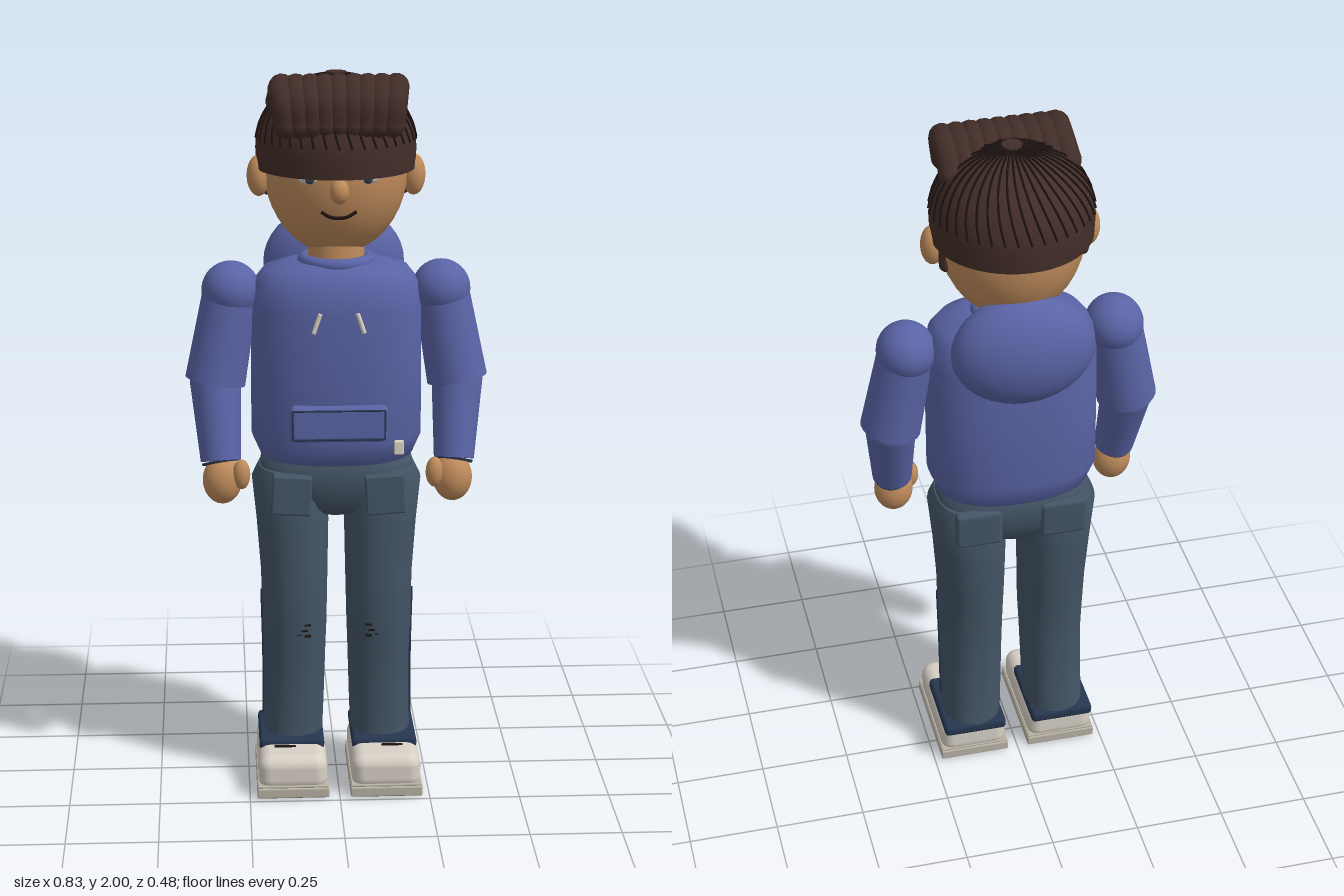
import * as THREE from 'three';
import { toCreasedNormals } from 'three/addons/utils/BufferGeometryUtils.js';
import { RoundedBoxGeometry } from 'three/addons/geometries/RoundedBoxGeometry.js';

const mat = (color) => new THREE.MeshStandardMaterial({ color, roughness: 0.8 });
const M = {
  hoodie: mat(0x5a64a6), jeans: mat(0x445566), navy: mat(0x26364f), skin: mat(0xc08c5c),
  hair: mat(0x422d28), dark: mat(0x1b1210), shoe: mat(0xd8d1c6), sole: mat(0xb8b2a4),
  tread: mat(0x707070), cream: mat(0xddd5c5), white: mat(0xe6e6e6), iris: mat(0x3a4048),
};
const V = (x, y, z) => new THREE.Vector3(x, y, z);

export function createModel() {
  const model = new THREE.Group();
  model.name = 'standingFigure';

  const add = (name, geo, material, x = 0, y = 0, z = 0) => {
    const mesh = new THREE.Mesh(geo, material);
    mesh.name = name;
    mesh.position.set(x, y, z);
    model.add(mesh);
    return mesh;
  };
  const ball = (name, material, x, y, z, rx, ry, rz) => {
    const mesh = add(name, new THREE.SphereGeometry(1, 32, 20), material, x, y, z);
    mesh.scale.set(rx, ry, rz);
    return mesh;
  };
  const box = (name, material, x, y, z, w, h, d, r = 0.01) =>
    add(name, new RoundedBoxGeometry(w, h, d, 3, r), material, x, y, z);
  const tube = (name, material, points, radius, segments = 16, sides = 6) =>
    add(name, new THREE.TubeGeometry(new THREE.CatmullRomCurve3(points), segments, radius, sides), material);
  // Tapered limb between two points
  const limb = (name, material, a, b, ra, rb) => {
    const mesh = add(name, new THREE.CylinderGeometry(rb, ra, a.distanceTo(b), 28), material);
    mesh.position.copy(a).lerp(b, 0.5);
    mesh.quaternion.setFromUnitVectors(V(0, 1, 0), b.clone().sub(a).normalize());
    return mesh;
  };
  // Closed skin over stacked superellipse sections: [y, centreX, centreZ, radiusX, radiusZ]
  const loft = (name, material, sections, power = 2) => {
    const n = 40, pos = [], idx = [];
    const first = sections[0], last = sections[sections.length - 1];
    const rings = [[first[0], first[1], first[2], 0.001, 0.001], ...sections,
      [last[0], last[1], last[2], 0.001, 0.001]];
    const bend = (v) => Math.sign(v) * Math.abs(v) ** (2 / power);
    rings.forEach(([y, cx, cz, rx, rz], i) => {
      for (let j = 0; j < n; j++) {
        const t = (j / n) * Math.PI * 2;
        pos.push(cx + rx * bend(Math.cos(t)), y, cz + rz * bend(Math.sin(t)));
        if (i === rings.length - 1) continue;
        const a = i * n + j, b = i * n + (j + 1) % n;
        idx.push(a, a + n, b, b, a + n, b + n);
      }
    });
    const geo = new THREE.BufferGeometry();
    geo.setAttribute('position', new THREE.Float32BufferAttribute(pos, 3));
    geo.setIndex(idx);
    return add(name, toCreasedNormals(geo, 0.9), material);
  };

  // Head and face
  ball('head', M.skin, 0, 1.735, -0.01, 0.195, 0.237, 0.18);
  add('neck', new THREE.CylinderGeometry(0.075, 0.08, 0.1, 28), M.skin, 0, 1.49, 0.01);
  ball('nose', M.skin, 0, 1.702, 0.185, 0.026, 0.034, 0.028);
  tube('mouth', M.dark, [V(-0.047, 1.642, 0.15), V(-0.02, 1.627, 0.151), V(0.02, 1.627, 0.151), V(0.047, 1.642, 0.15)], 0.005);

  // Hair cap with a straight band below the dome
  const profile = [[0.175, 1.735], [0.214, 1.735], [0.217, 1.79]];
  for (let i = 1; i <= 14; i++) {
    const a = (i / 14) * Math.PI / 2;
    profile.push([Math.max(0.217 * Math.cos(a), 0), 1.79 + 0.195 * Math.sin(a)]);
  }
  const cap = add('hairCap', toCreasedNormals(new THREE.LatheGeometry(
    profile.map(([x, y]) => new THREE.Vector2(x, y)), 48), 0.8), M.hair, 0, 0, -0.012);
  cap.material = M.hair.clone();
  cap.material.side = THREE.DoubleSide;
  add('hairCrown', new THREE.CylinderGeometry(0.027, 0.027, 0.012, 24), M.hair, 0, 1.986, -0.012);

  // Fine swirled strands running from the band to the crown
  for (let k = 0; k < 40; k++) {
    const points = [];
    for (let i = 0; i <= 6; i++) {
      const e = 0.12 + (i / 6) * 1.33, t = (k / 40) * Math.PI * 2 + 0.22 * Math.sin(i / 6 * Math.PI / 2);
      const r = 0.218 * Math.cos(e);
      points.push(V(r * Math.cos(t), 1.791 + 0.196 * Math.sin(e), -0.012 + r * Math.sin(t)));
    }
    tube('hairStrand', M.dark, points, 0.0032, 14, 5);
  }

  // Quiff made of thick side-by-side rolls
  for (let k = 0; k < 9; k++) {
    const u = k / 4 - 1, x = u * 0.152, r = 0.034;
    const path = [V(x * 0.92, 1.875, 0.165), V(x * 0.96, 1.93, 0.163), V(x, 1.96, 0.125),
      V(x + 0.004, 1.965, 0.08), V(x + 0.004, 1.95, 0.035), V(x * 1.02, 1.915, 0.008)];
    tube('quiffRoll', M.hair, path, r, 20, 14);
    for (const p of [path[0], path[5]]) ball('quiffRollEnd', M.hair, p.x, p.y, p.z, r, r, r);
  }

  // Torso, collar and hood
  loft('hoodieBody', M.hoodie, [
    [0.925, 0, 0, 0.18, 0.12], [0.945, 0, 0, 0.21, 0.14], [1.0, 0, 0, 0.234, 0.152],
    [1.2, 0, 0, 0.234, 0.15], [1.36, 0, 0.005, 0.232, 0.158], [1.43, 0, 0.005, 0.222, 0.147],
    [1.465, 0, 0.005, 0.195, 0.125], [1.485, 0, 0.005, 0.12, 0.1]], 2.5);
  const collar = add('collar', new THREE.TorusGeometry(0.088, 0.018, 12, 40), M.hoodie, 0, 1.485, 0.01);
  collar.rotation.x = Math.PI / 2;
  ball('hood', M.hoodie, 0, 1.45, -0.138, 0.195, 0.16, 0.102);

  // Front pocket with a stitched border, drawstrings and tag
  box('frontPocket', M.hoodie, 0, 1.06, 0.15, 0.265, 0.1, 0.04, 0.015);
  const border = [[-0.125, 1.02], [0.125, 1.02], [0.125, 1.1], [-0.125, 1.1]];
  border.forEach(([x, y], i) => {
    const [x2, y2] = border[(i + 1) % 4];
    limb('pocketStitch', M.navy, V(x, y, 0.171), V(x2, y2, 0.171), 0.0025, 0.0025);
  });
  for (const s of [-1, 1]) limb('drawstring', M.cream, V(s * 0.068, 1.315, 0.166), V(s * 0.05, 1.368, 0.166), 0.006, 0.006);
  box('hemTag', M.cream, 0.165, 0.985, 0.13, 0.026, 0.038, 0.02, 0.003);

  // Hips of the jeans
  loft('jeansHips', M.jeans, [
    [0.78, 0, 0, 0.06, 0.085], [0.8, 0, 0, 0.12, 0.105], [0.84, 0, 0, 0.19, 0.122],
    [0.88, 0, 0, 0.216, 0.13], [0.925, 0, 0, 0.21, 0.13], [0.955, 0, 0, 0.185, 0.115]], 2.6);

  // Mirrored parts
  for (const s of [-1, 1]) {
    // Ears, sideburns and eyes
    ball('ear', M.skin, s * 0.209, 1.715, 0.003, 0.032, 0.056, 0.034);
    const burn = add('sideburn', new THREE.CapsuleGeometry(0.02, 0.07, 6, 14), M.hair, s * 0.185, 1.71, -0.036);
    burn.scale.x = 0.8;
    ball('eyeWhite', M.white, s * 0.077, 1.732, 0.15, 0.03, 0.016, 0.014);
    ball('iris', M.iris, s * 0.077, 1.732, 0.16, 0.013, 0.014, 0.008);
    tube('eyelid', M.dark, [V(s * 0.045, 1.733, 0.163), V(s * 0.077, 1.745, 0.164), V(s * 0.108, 1.733, 0.147)], 0.003);

    // Arms
    const shoulder = V(s * 0.287, 1.4, 0.002), elbow = V(s * 0.332, 1.15, 0.018), wrist = V(s * 0.32, 0.94, 0.083);
    ball('shoulder', M.hoodie, shoulder.x, shoulder.y, shoulder.z, 0.08, 0.08, 0.084);
    limb('upperSleeve', M.hoodie, shoulder, elbow, 0.075, 0.083);
    ball('elbow', M.hoodie, elbow.x, elbow.y, elbow.z, 0.07, 0.07, 0.07);
    limb('lowerSleeve', M.hoodie, elbow, wrist, 0.07, 0.055);
    limb('cuff', M.navy, wrist, V(s * 0.319, 0.934, 0.085), 0.053, 0.051);
    ball('hand', M.skin, s * 0.316, 0.888, 0.09, 0.054, 0.067, 0.048);
    ball('thumb', M.skin, s * 0.264, 0.91, 0.115, 0.024, 0.042, 0.024);

    // Legs with turned hems
    loft('jeansLeg', M.jeans, [
      [0.12, s * 0.124, 0, 0.084, 0.104], [0.22, s * 0.121, 0.005, 0.085, 0.1],
      [0.38, s * 0.118, 0.012, 0.087, 0.104], [0.46, s * 0.118, 0.016, 0.09, 0.113],
      [0.6, s * 0.118, 0.008, 0.093, 0.124], [0.75, s * 0.122, 0.002, 0.1, 0.13],
      [0.87, s * 0.13, 0, 0.104, 0.132], [0.91, s * 0.125, 0, 0.09, 0.12]], 2.3);
    box('jeansHem', M.navy, s * 0.13, 0.117, 0.012, 0.182, 0.034, 0.236, 0.012);
    tube('sideSeam', M.navy, [V(s * 0.207, 0.17, 0.018), V(s * 0.206, 0.36, 0.03), V(s * 0.21, 0.55, 0.03)], 0.004);
    box('thighPocket', M.jeans, s * 0.128, 0.855, 0.134, 0.108, 0.11, 0.04, 0.006).rotation.z = s * 0.06;
    box('backPocket', M.jeans, s * 0.12, 0.865, -0.118, 0.13, 0.11, 0.035, 0.012);

    // Worn knee marks
    for (let row = 0; row < 3; row++) {
      for (let k = 0; k < 3; k++) {
        box('kneeTear', M.dark, s * (0.085 + k * 0.026 + (row % 2) * 0.008), 0.44 + row * 0.016 + k * 0.003, 0.123 - k * 0.004,
          0.018, 0.005, 0.014, 0.002);
      }
    }

    // Shoes
    box('shoeUpper', M.shoe, s * 0.13, 0.069, 0.073, 0.192, 0.102, 0.322, 0.035);
    box('shoeSole', M.sole, s * 0.13, 0.018, 0.075, 0.2, 0.028, 0.33, 0.004);
    box('shoeTread', M.tread, s * 0.13, 0.005, 0.075, 0.18, 0.01, 0.31, 0.002);
    box('shoeWelt', M.sole, s * 0.13, 0.036, 0.075, 0.196, 0.006, 0.326, 0.002);
    box('shoeLace', M.dark, s * 0.15, 0.12, 0.147, 0.06, 0.008, 0.01, 0.003);
  }
  return model;
}
